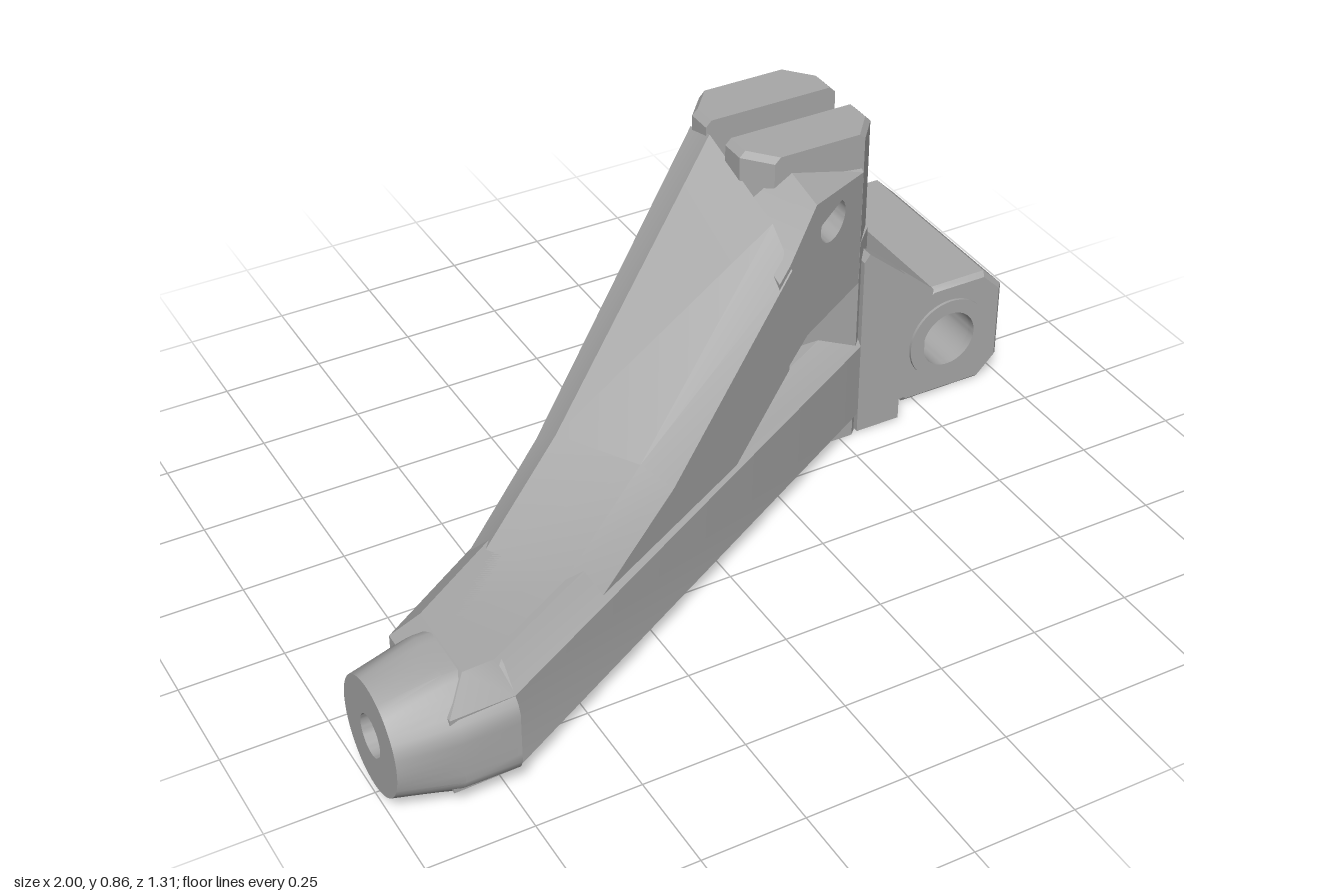
import * as THREE from 'three';
import { toCreasedNormals } from 'three/addons/utils/BufferGeometryUtils.js';

const grey = new THREE.MeshStandardMaterial({ color: 0xa8a8a8 });
grey.name = 'grey plastic';

function outline(points, hole) {
  const shape = new THREE.Shape(points.map(([x, y]) => new THREE.Vector2(x, y)));
  if (hole) {
    const path = new THREE.Path();
    path.absarc(hole[0], hole[1], hole[2], 0, Math.PI * 2, true);
    shape.holes.push(path);
  }
  return shape;
}

// Extrudes an outline from z0 to z1, with an optional chamfer kept inside it
function extrude(shape, z0, z1, bevel = 0, bevelDepth = bevel, steps = 1) {
  const geo = new THREE.ExtrudeGeometry(shape, {
    depth: z1 - z0 - 2 * bevelDepth, steps, curveSegments: 24,
    bevelEnabled: bevel > 0, bevelSegments: 1,
    bevelSize: bevel, bevelThickness: bevelDepth, bevelOffset: -bevel,
  });
  return geo.translate(0, 0, z0 + bevelDepth);
}

// Extrudes a plan given as [x, z] upwards from y0 to y1
function extrudePlan(points, y0, y1, bevel = 0) {
  const shape = outline(points.map(([x, z]) => [x, -z]));
  return extrude(shape, y0, y1, bevel).rotateX(-Math.PI / 2);
}

// Moves every vertex by a rule
function reshape(geo, rule) {
  const p = geo.attributes.position;
  const v = new THREE.Vector3();
  for (let i = 0; i < p.count; i++) {
    v.fromBufferAttribute(p, i);
    rule(v);
    p.setXYZ(i, v.x, v.y, v.z);
  }
  return geo;
}

export function createModel() {
  const group = new THREE.Group();
  const add = (name, geo) => {
    const mesh = new THREE.Mesh(toCreasedNormals(geo, 0.5), grey);
    mesh.name = name;
    group.add(mesh);
  };

  // Lower beam, running diagonally from the tip to the hinge
  add('lowerBeam', extrudePlan([
    [-0.88, 0.64], [-0.73, 0.635], [0.55, -0.08], [0.67, -0.08], [0.68, -0.14],
    [0.78, -0.14], [0.78, -0.635], [0.65, -0.63], [0.56, -0.6], [-0.88, 0.34],
  ], 0, 0.32, 0.06));

  // Tip: bored round end growing into a chamfered square
  const tipProfile = [
    [0, 0.1], [0.05, 0.1], [0.05, 0.27], [0.135, 0.27], [0.16, 0.13], [0.16, 0], [0, 0],
  ].reverse().map(([r, y]) => new THREE.Vector2(r, y));
  const tip = reshape(new THREE.LatheGeometry(tipProfile, 48), (v) => {
    const r = Math.hypot(v.x, v.z);
    if (r < 0.15) return;
    const c = Math.abs(v.x) / r, s = Math.abs(v.z) / r, a = 0.157;
    const k = Math.min(a / Math.max(c, s), (2 * a - 0.08) / (c + s)) / r;
    v.x *= k;
    v.z *= k;
  });
  tip.rotateZ(Math.PI / 2).translate(-0.73, 0.16, 0.5);
  add('tip', tip);

  // Rising strut, drawn along the arm and turned; its end is cut square to x
  const cos = 0.857, sin = 0.515, rise = 0.561;
  const strut = extrude(outline([
    [-0.9, 0.1], [0, 0.1], [0, 0.233], [0.28, 0.393],
    [0.28, 0.785], [-0.35, 0.43], [-0.65, 0.32], [-0.9, 0.32],
  ]), -0.155, 0.155, 0.06);
  add('strut', reshape(strut, (v) => {
    const t = v.z * (1 + 0.26 * (v.x + 0.9));
    let s = v.x;
    if (s > 0.15) {
      const end = (0.245 - sin * t) / cos;
      v.y += rise * (end - s);
      s = end;
    }
    v.x = cos * s + sin * t;
    v.z = -sin * s + cos * t;
  }));

  // Front cheek carrying the strut face past the clevis, with the pin hole
  const pin = [0.41, 0.7, 0.05];
  const cheek = extrude(outline([
    [0.2, 0.38], [0.32, 0.445], [0.53, 0.455], [0.53, 0.79],
    [0.34, 0.815], [0.24, 0.755], [0.2, 0.73],
  ], pin), -0.1, 0);
  add('frontCheek', reshape(cheek, (v) => {
    if (v.z < -0.05) return;
    v.z = 0.108 - 0.55 * (v.x - 0.2);
    if (v.y > 0.72 && Math.hypot(v.x - pin[0], v.y - pin[1]) > 0.06) {
      v.y -= v.x < 0.3 ? 0.07 : 0.03;
    }
  }));

  // Clevis column with chamfered corners
  add('clevisColumn', extrudePlan([
    [0.24, -0.135], [0.295, -0.08], [0.535, -0.08], [0.59, -0.135],
    [0.59, -0.375], [0.535, -0.43], [0.295, -0.43], [0.24, -0.375],
  ], 0, 0.56));

  // Two clevis ears, chamfered on their outer side corners
  for (const side of [1, -1]) {
    const ear = extrude(outline([
      [0.24, 0.56], [0.59, 0.56], [0.59, 0.845], [0.575, 0.86], [0.255, 0.86], [0.24, 0.845],
    ], pin), -0.065, 0.065, 0, 0, 2);
    reshape(ear, (v) => {
      if (v.z * side < 0.05) return;
      if (v.x < 0.26) v.x += 0.055;
      if (v.x > 0.57) v.x -= 0.055;
    });
    add(side > 0 ? 'frontEar' : 'backEar', ear.translate(0, 0, -0.255 + side * 0.11));
  }

  // Gusset sloping down from the clevis to the hinge, and its front rib
  add('gusset', extrude(outline([
    [0.5, 0], [0.75, 0.02], [0.79, 0.32], [0.565, 0.52], [0.5, 0.52],
  ]), -0.43, -0.13));
  add('gussetRib', extrude(outline([
    [0.55, 0.005], [0.67, 0.005], [0.67, 0.43], [0.565, 0.52], [0.55, 0.5],
  ]), -0.14, -0.08));

  // Hinge barrel with bore and raised rings at both ends
  const bore = [0.84, 0.16, 0.075];
  add('hingeBlock', extrude(outline([
    [0.72, 0], [0.945, 0], [1, 0.055], [1, 0.265], [0.945, 0.32],
    [0.79, 0.32], [0.72, 0.27], [0.67, 0.27], [0.67, 0.05],
  ], bore), -0.645, -0.13, 0.012));
  for (const z of [-0.655, -0.145]) {
    const ring = new THREE.Shape();
    ring.absarc(bore[0], bore[1], 0.112, 0, Math.PI * 2);
    ring.holes.push(outline([[0, 0]], bore).holes[0]);
    add('hingeRing', extrude(ring, z, z + 0.022));
  }
  return group;
}
